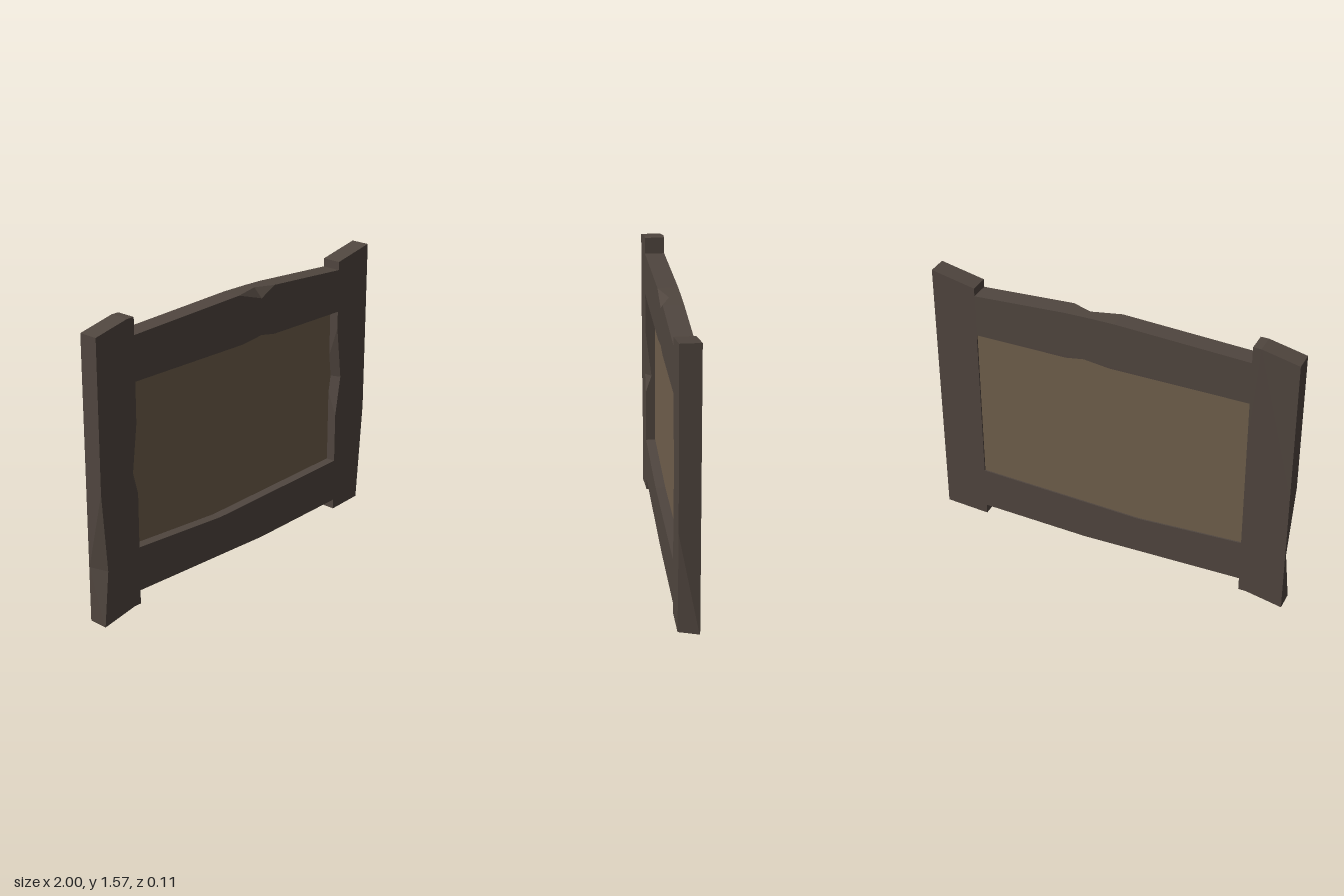
import * as THREE from 'three';

const HALF = 0.053; // half the board thickness

// Board from a counter-clockwise outline. A point is [x, y]; a chipped point is
// [x, y, frontX, frontY, z]: the front edge is cut in, the cut ending at depth z.
function board(name, outline, material) {
  const pos = [];
  const tri = (...pts) => pts.forEach((p) => pos.push(p.x, p.y, p.z));
  const front = outline.map(([x, y, fx = x, fy = y]) => new THREE.Vector3(fx, fy, HALF));
  const mid = outline.map(([x, y, , , z = 0]) => new THREE.Vector3(x, y, z));
  const back = outline.map(([x, y]) => new THREE.Vector3(x, y, -HALF));

  // Front and back faces
  const flat = (ring) => ring.map((p) => new THREE.Vector2(p.x, p.y));
  for (const [a, b, c] of THREE.ShapeUtils.triangulateShape(flat(front), [])) tri(front[a], front[b], front[c]);
  for (const [a, b, c] of THREE.ShapeUtils.triangulateShape(flat(back), [])) tri(back[c], back[b], back[a]);

  // Edge walls, with the diagonals meeting at the bottom of each chip
  outline.forEach((p, i) => {
    const j = (i + 1) % outline.length;
    if (p.length > 2) {
      tri(front[i], mid[i], front[j]);
      tri(front[j], mid[i], mid[j]);
    } else {
      tri(front[i], mid[j], front[j]);
      tri(front[i], mid[i], mid[j]);
    }
    tri(mid[i], back[i], back[j]);
    tri(mid[i], back[j], mid[j]);
  });

  const geometry = new THREE.BufferGeometry();
  geometry.setAttribute('position', new THREE.Float32BufferAttribute(pos, 3));
  geometry.computeVertexNormals();
  const mesh = new THREE.Mesh(geometry, material);
  mesh.name = name;
  return mesh;
}

export function createModel() {
  const group = new THREE.Group();
  group.name = 'woodenSign';
  const darkWood = new THREE.MeshStandardMaterial({ color: 0x50463f });
  darkWood.name = 'darkWood';
  const lightWood = new THREE.MeshStandardMaterial({ color: 0x705f4c });
  lightWood.name = 'lightWood';
  const J = 0.757; // joint between posts and rails

  // Posts
  group.add(board('rightPost', [
    [-1, 0], [-0.8, 0.04], [-J, 0.04], [-J, 0.65], [-J, 0.75, -0.793, 0.75, 0.02], [-J, 1.02],
    [-J, 1.56], [-0.8, 1.56], [-1, 1.515], [-1, 0.72], [-1, 0.3, -0.97, 0.3, -0.05],
  ], darkWood));
  group.add(board('leftPost', [
    [J, 0.06], [1, 0.075, 0.96, 0.072, -0.05], [1, 0.62], [1, 1.567], [J, 1.515],
    [J, 1.14], [J, 0.85, 0.793, 0.85, -0.04], [J, 0.63],
  ], darkWood));

  // Rails
  group.add(board('topRail', [
    [-J, 1.235], [0, 1.235], [0.14, 1.252], [0.24, 1.235], [J, 1.235], [J, 1.47],
    [0.24, 1.5], [0.13, 1.502, 0.14, 1.45, 0.01], [-0.03, 1.502], [-J, 1.47],
  ], darkWood));
  group.add(board('bottomRail', [
    [-J, 0.115], [0.15, 0.095], [J, 0.115], [J, 0.355], [-0.17, 0.322], [-J, 0.355],
  ], darkWood));

  // Recessed panel
  const panel = new THREE.Mesh(new THREE.BoxGeometry(1.62, 0.98, 0.045), lightWood);
  panel.name = 'panel';
  panel.position.set(0, 0.785, -0.0225);
  group.add(panel);

  return group;
}
